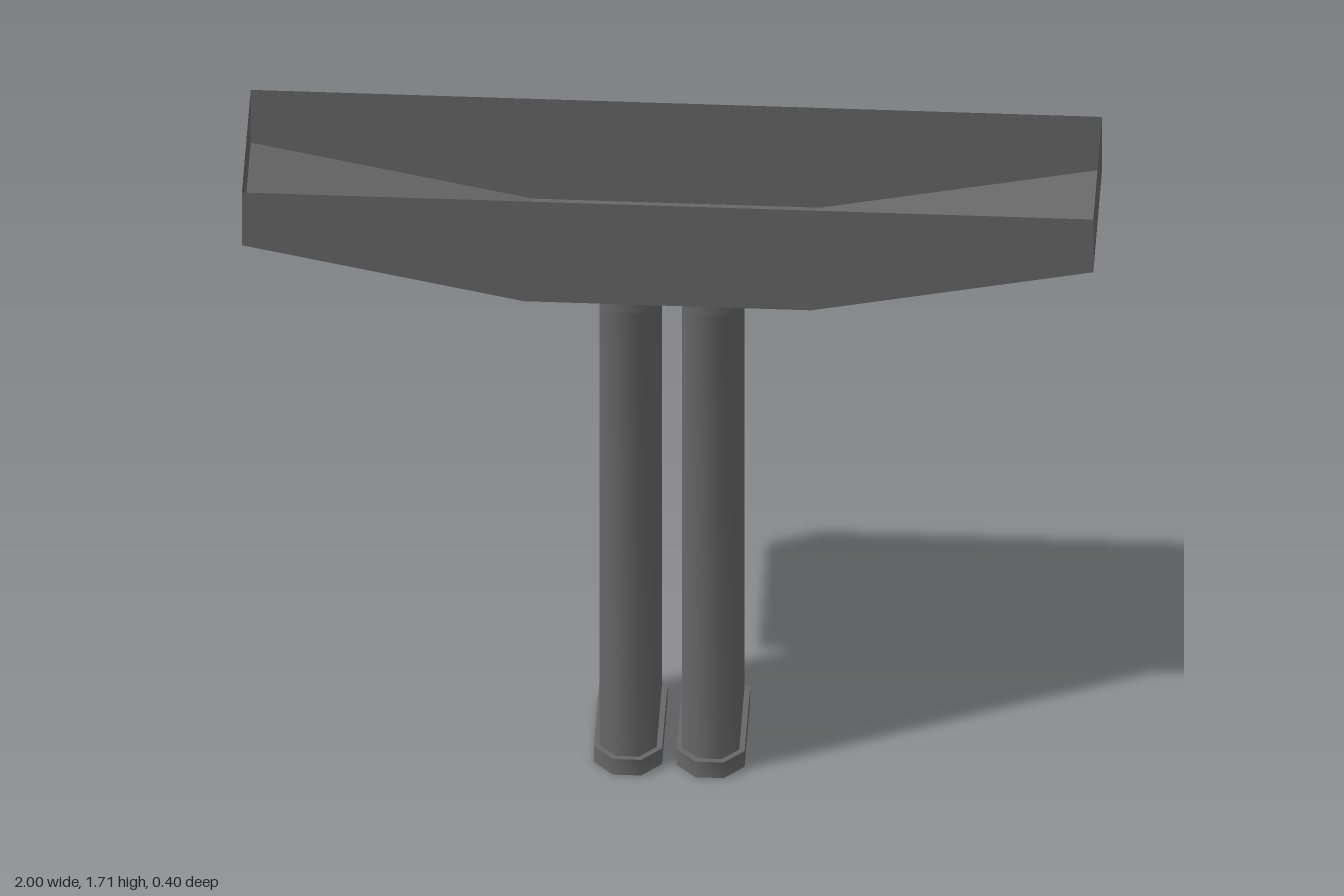
import * as THREE from 'three';
import { toCreasedNormals } from 'three/addons/utils/BufferGeometryUtils.js';

const smooth = new THREE.MeshStandardMaterial({ color: 0x676767, side: THREE.DoubleSide });
const flat = new THREE.MeshStandardMaterial({ color: 0x676767, side: THREE.DoubleSide, flatShading: true });

// Elongated octagon, counter-clockwise seen from above; each end is half a regular octagon
function octagon(halfX, halfZ) {
  const c = halfX * 0.586;
  return [
    [halfX, halfZ - c], [halfX, c - halfZ], [halfX - c, -halfZ], [c - halfX, -halfZ],
    [-halfX, c - halfZ], [-halfX, halfZ - c], [c - halfX, halfZ], [halfX - c, halfZ],
  ];
}

// Band between two octagon rings given as [halfX, halfZ, y], listed from bottom to top
function band(name, lower, upper) {
  const positions = [], index = [], n = 8;
  for (const [halfX, halfZ, y] of [lower, upper]) {
    for (const [x, z] of octagon(halfX, halfZ)) positions.push(x, y, z);
  }
  for (let i = 0; i < n; i++) {
    const j = (i + 1) % n;
    index.push(i, j, i + n, j, j + n, i + n);
  }
  const geo = new THREE.BufferGeometry();
  geo.setAttribute('position', new THREE.Float32BufferAttribute(positions, 3));
  geo.setIndex(index);
  const mesh = new THREE.Mesh(toCreasedNormals(geo, 0.9), smooth);
  mesh.name = name;
  return mesh;
}

// Thin open-topped trough: end walls and floor form one strip, closed by two side walls
function trough() {
  const group = new THREE.Group();
  group.name = 'trough';
  const halfZ = 0.198;
  const profile = [[-1, 1.708], [-1, 1.552], [-0.337, 1.413], [0.337, 1.413], [1, 1.552], [1, 1.708]];

  const positions = [], index = [];
  profile.forEach(([x, y], i) => {
    positions.push(x, y, halfZ, x, y, -halfZ);
    const a = i * 2;
    if (i < profile.length - 1) index.push(a, a + 1, a + 2, a + 1, a + 3, a + 2);
  });
  const strip = new THREE.BufferGeometry();
  strip.setAttribute('position', new THREE.Float32BufferAttribute(positions, 3));
  strip.setIndex(index);
  const faceted = strip.toNonIndexed();
  faceted.computeVertexNormals();
  const floor = new THREE.Mesh(faceted, flat);
  floor.name = 'troughFloorAndEnds';
  group.add(floor);

  const side = new THREE.ShapeGeometry(new THREE.Shape(profile.map(([x, y]) => new THREE.Vector2(x, y))));
  for (const s of [1, -1]) {
    const wall = new THREE.Mesh(side, flat);
    wall.name = s > 0 ? 'troughFrontWall' : 'troughBackWall';
    wall.position.z = s * halfZ;
    if (s < 0) wall.rotation.y = Math.PI;
    group.add(wall);
  }
  return group;
}

export function createModel() {
  const model = new THREE.Group();
  model.name = 'pier';
  model.add(trough());

  // Twin hollow columns, open at the bottom, each with a wider foot and top collar
  const wide = [0.08, 0.17], narrow = [0.067, 0.157];
  const footTop = 0.046, collarBase = 1.368, top = 1.413;
  for (const s of [1, -1]) {
    const column = new THREE.Group();
    column.name = s > 0 ? 'leftColumn' : 'rightColumn';
    column.position.x = s * 0.097;
    column.add(
      band('foot', [...wide, 0], [...wide, footTop]),
      band('footLedge', [...wide, footTop], [...narrow, footTop]),
      band('shaft', [...narrow, footTop], [...narrow, collarBase]),
      band('collarLedge', [...narrow, collarBase], [...wide, collarBase]),
      band('collar', [...wide, collarBase], [...wide, top]),
    );
    model.add(column);
  }
  return model;
}
